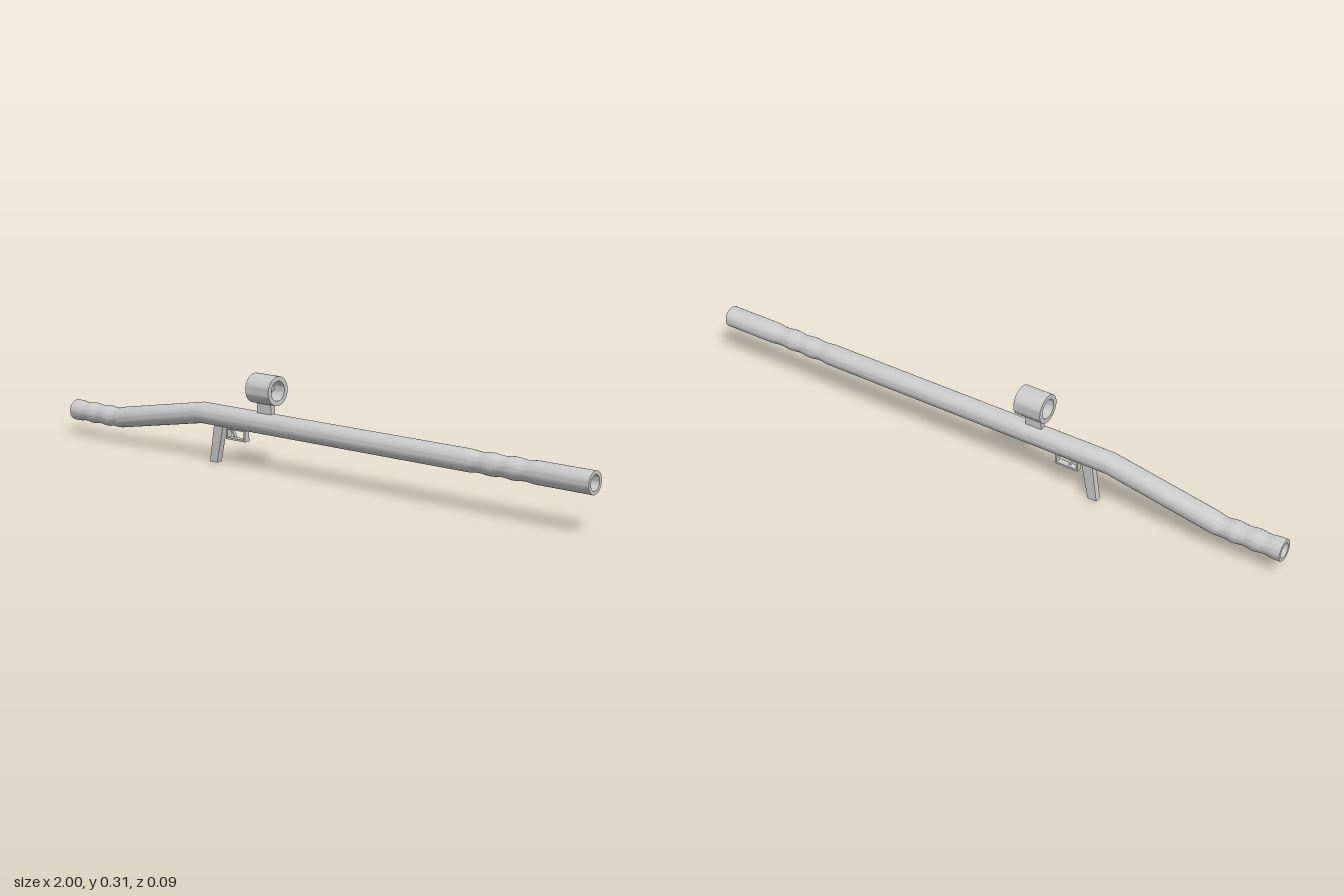
import * as THREE from 'three';
import { toCreasedNormals } from 'three/addons/utils/BufferGeometryUtils.js';

const R = 0.034, BORE = 0.023;
const material = new THREE.MeshStandardMaterial({ color: 0xcccccc });

function add(group, name, geometry, x = 0, y = 0, z = 0) {
  const mesh = new THREE.Mesh(geometry, material);
  mesh.name = name;
  mesh.position.set(x, y, z);
  group.add(mesh);
  return mesh;
}

// Height of the tube's axis: low rear, sloped neck, straight front
function axisY(x) {
  const t = THREE.MathUtils.clamp((x + 0.8) / 0.37, 0, 1);
  return 0.084 + t * 0.067;
}

// Shallow finger grooves near both ends
function outerRadius(x) {
  for (const [a, b, n] of [[-0.98, -0.78, 3], [0.59, 0.82, 3]]) {
    if (x > a && x < b) return R - 0.0018 * (1 - Math.cos((x - a) / (b - a) * n * Math.PI * 2));
  }
  return R;
}

// Hollow tube swept from upright circular sections, out along the skin and back along the bore
function tubeGeometry() {
  const xs = [-1];
  for (let x = -0.98; x < -0.775; x += 0.01) xs.push(x);
  xs.push(-0.43);
  for (let x = 0.59; x < 0.825; x += 0.01) xs.push(x);
  xs.push(1);
  const sections = xs.map(x => [x, outerRadius(x)]);
  for (const x of [1, -0.43, -0.8, -1]) sections.push([x, BORE]);
  const sides = 32, count = sections.length, positions = [], index = [];
  sections.forEach(([x, r]) => {
    for (let j = 0; j < sides; j++) {
      const a = j / sides * Math.PI * 2;
      positions.push(x, axisY(x) + r * Math.cos(a), r * Math.sin(a));
    }
  });
  for (let i = 0; i < count; i++) {
    for (let j = 0; j < sides; j++) {
      const k = (j + 1) % sides, n = (i + 1) % count;
      const a = i * sides + j, b = i * sides + k, c = n * sides + j, d = n * sides + k;
      index.push(a, b, c, b, d, c);
    }
  }
  const g = new THREE.BufferGeometry();
  g.setAttribute('position', new THREE.Float32BufferAttribute(positions, 3));
  g.setIndex(index);
  return toCreasedNormals(g, 0.6);
}

// Ring with its axis along x
function ringGeometry(outer, inner, length) {
  const h = length / 2;
  const profile = [[inner, -h], [outer, -h], [outer, h], [inner, h], [inner, -h]]
    .map(p => new THREE.Vector2(...p));
  return toCreasedNormals(new THREE.LatheGeometry(profile, 32).rotateZ(-Math.PI / 2), 0.6);
}

// Side outline in x,y given a width in z
function plate(points, width, hole) {
  const shape = new THREE.Shape(points.map(p => new THREE.Vector2(...p)));
  if (hole) shape.holes.push(new THREE.Path(hole.map(p => new THREE.Vector2(...p))));
  return new THREE.ExtrudeGeometry(shape, { depth: width, bevelEnabled: false })
    .translate(0, 0, -width / 2);
}

export function createModel() {
  const model = new THREE.Group();
  model.name = 'launcherTube';
  add(model, 'barrel', tubeGeometry());

  // Grip, trigger guard and trigger
  add(model, 'grip', plate([[-0.393, 0], [-0.363, 0], [-0.336, 0.124], [-0.374, 0.124]], 0.021));
  add(model, 'triggerGuard', plate(
    [[-0.325, 0.082], [-0.246, 0.082], [-0.246, 0.125], [-0.325, 0.125]], 0.02,
    [[-0.319, 0.088], [-0.319, 0.114], [-0.252, 0.114], [-0.252, 0.088]]));
  add(model, 'trigger', plate([[-0.296, 0.09], [-0.29, 0.092], [-0.306, 0.118], [-0.314, 0.118]], 0.01));

  // Sight on its post
  add(model, 'sightPost', new THREE.BoxGeometry(0.055, 0.05, 0.02), -0.168, 0.2, 0);
  const sight = new THREE.Group();
  sight.name = 'sight';
  sight.position.set(-0.166, 0.259, 0);
  add(sight, 'sightHousing', ringGeometry(0.046, 0.031, 0.092));
  add(sight, 'reticleRing', ringGeometry(0.023, 0.016, 0.01));
  for (let i = 0; i < 4; i++) {
    const arm = new THREE.Group();
    arm.name = 'reticleArm';
    arm.rotation.x = i * Math.PI / 2;
    add(arm, 'spoke', new THREE.BoxGeometry(0.01, 0.011, 0.016), 0, 0.027, 0);
    // Pointer tapering to the middle
    const pointer = plate([[-0.004, 0.018], [0, 0.001], [0.004, 0.018]], 0.006);
    add(arm, 'pointer', pointer.rotateY(Math.PI / 2));
    sight.add(arm);
  }
  model.add(sight);
  return model;
}
